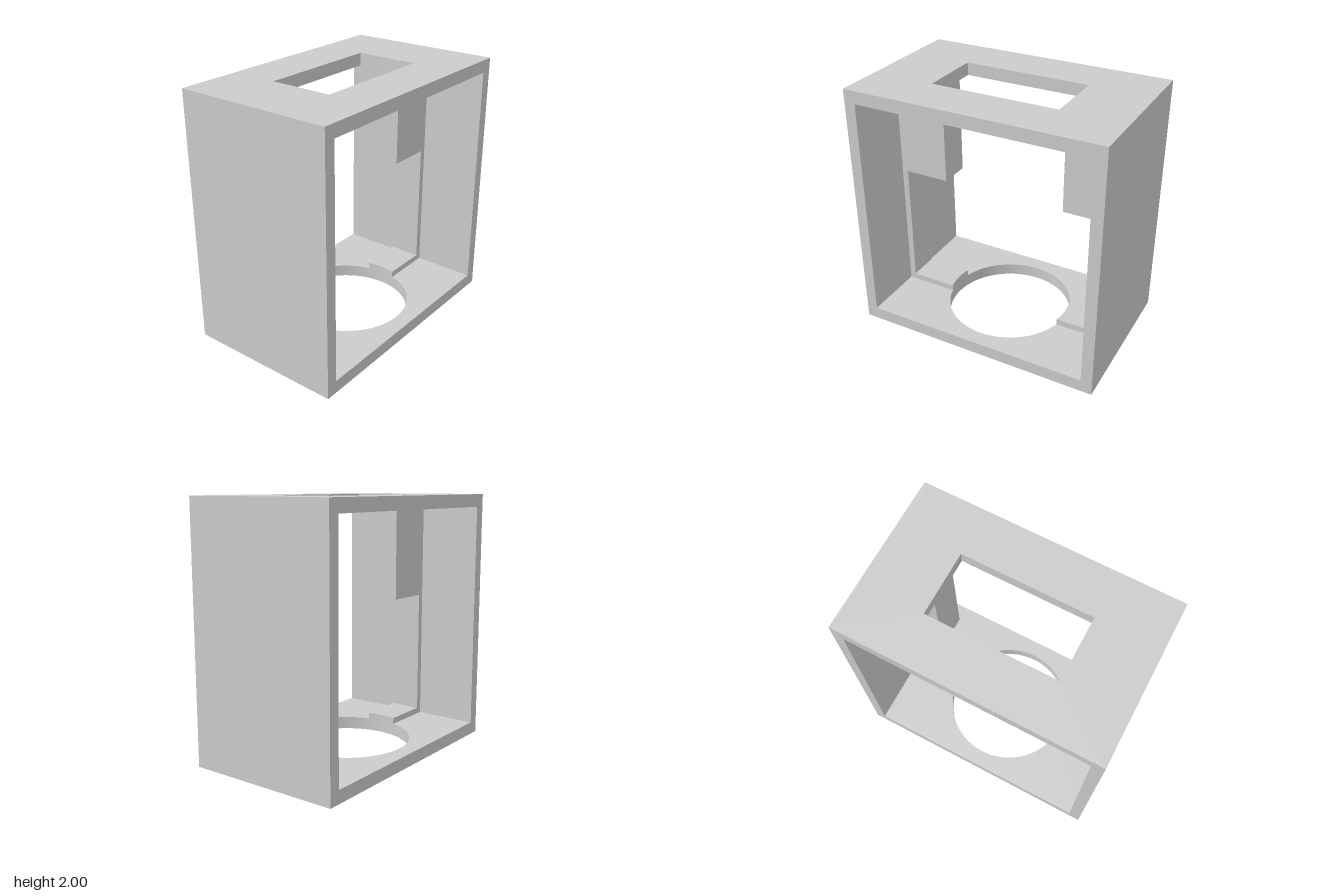
import * as THREE from 'three';

const W = 2, H = 2, D = 1.25;   // outer size
const SIDE = 0.09, PLATE = 0.1; // wall thicknesses
const INNER = W / 2 - SIDE;     // inner face of the side walls
const RAIL = 0.125;             // half depth of the brackets
const HOLE_R = 0.5;             // round floor opening

const material = new THREE.MeshStandardMaterial({ color: 0xcccccc });

function addMesh(parent, name, geometry, x = 0, y = 0, z = 0) {
  const mesh = new THREE.Mesh(geometry, material);
  mesh.name = name;
  mesh.position.set(x, y, z);
  parent.add(mesh);
  return mesh;
}

function polygon(points) {
  return new THREE.Shape(points.map(([x, y]) => new THREE.Vector2(x, y)));
}

function rectangle(hw, hd) {
  return polygon([[-hw, -hd], [hw, -hd], [hw, hd], [-hw, hd]]);
}

// Plan shape raised along +y
function raise(shape, height) {
  return new THREE.ExtrudeGeometry(shape, { depth: height, bevelEnabled: false, curveSegments: 64 })
    .rotateX(-Math.PI / 2);
}

export function createModel() {
  const model = new THREE.Group();
  model.name = 'openHousing';

  // Floor with a round opening
  const floor = rectangle(W / 2, D / 2);
  floor.holes.push(new THREE.Path().absarc(0, 0, HOLE_R, 0, Math.PI * 2, true));
  addMesh(model, 'floorPlate', raise(floor, PLATE));

  // Top with a rectangular slot
  const top = rectangle(W / 2, D / 2);
  top.holes.push(rectangle(0.5, 0.25));
  addMesh(model, 'topPlate', raise(top, PLATE), 0, H - PLATE, 0);

  // Each side: wall, hanging block with its rib, and a pad cut by the opening
  const rib = polygon([
    [INNER, 0.15], [INNER, H - PLATE], [0.5, H - PLATE],
    [0.5, 1.15], [0.86, 1.15], [0.86, 0.15],
  ]);
  const ribGeometry = new THREE.ExtrudeGeometry(rib, { depth: RAIL * 2, bevelEnabled: false });

  const angle = Math.asin(RAIL / HOLE_R);
  const pad = new THREE.Shape();
  pad.moveTo(INNER, -RAIL);
  pad.lineTo(INNER, RAIL);
  pad.absarc(0, 0, HOLE_R, angle, -angle, true);
  pad.closePath();
  const padGeometry = raise(pad, 0.05);

  const wallGeometry = new THREE.BoxGeometry(SIDE, H - PLATE * 2, D);

  for (const side of ['left', 'right']) {
    const group = new THREE.Group();
    group.name = side + 'Side';
    addMesh(group, side + 'Wall', wallGeometry, W / 2 - SIDE / 2, H / 2, 0);
    addMesh(group, side + 'BlockAndRib', ribGeometry, 0, 0, -RAIL);
    addMesh(group, side + 'FloorPad', padGeometry, 0, PLATE, 0);
    if (side === 'right') group.rotation.y = Math.PI;
    model.add(group);
  }

  return model;
}
